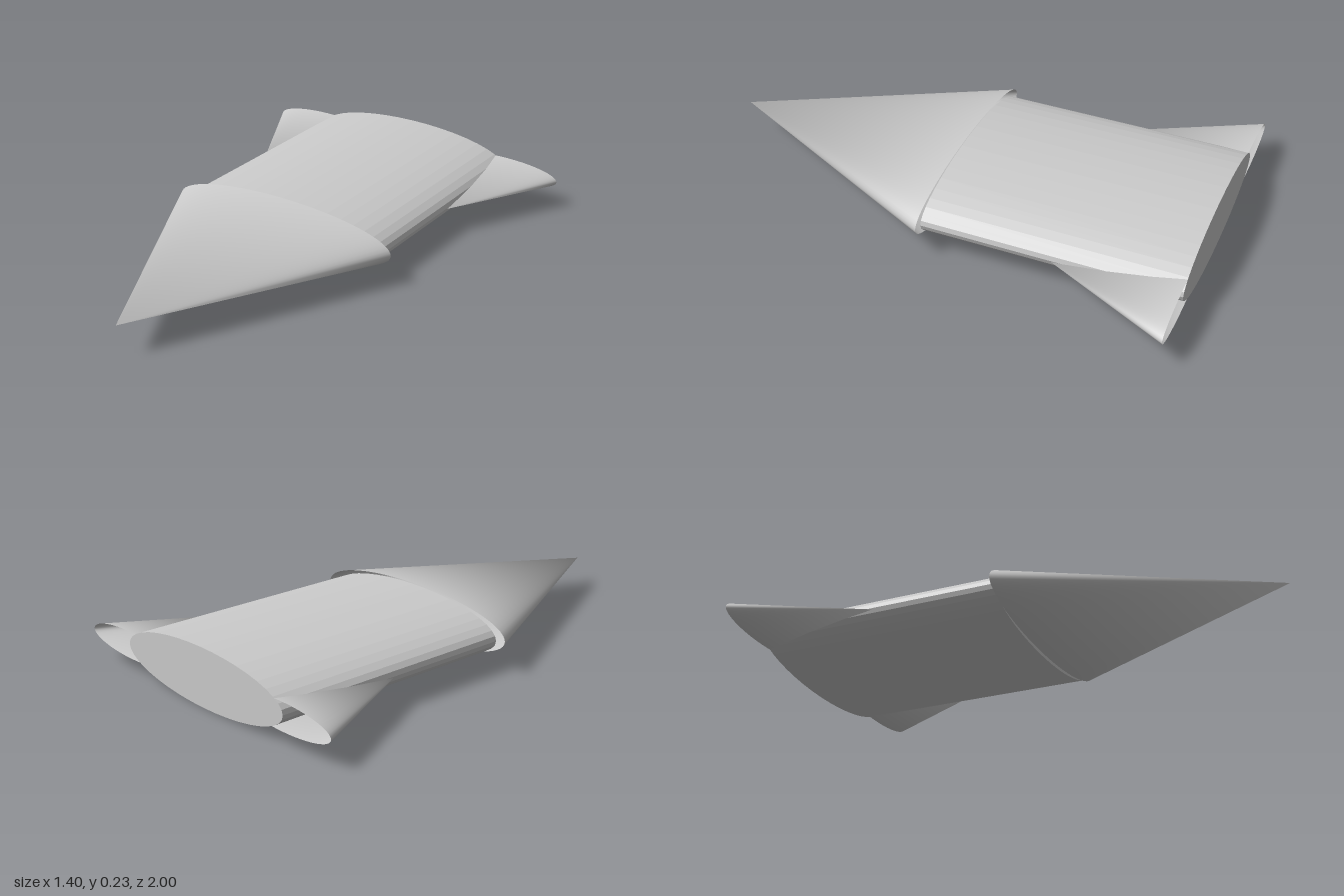
import * as THREE from 'three';
import { mergeVertices } from 'three/addons/utils/BufferGeometryUtils.js';

const grey = new THREE.MeshStandardMaterial({ color: 0xcccccc, side: THREE.DoubleSide });
const greyFlat = new THREE.MeshStandardMaterial({ color: 0xcccccc, flatShading: true });

// Hollow flattened cone pointing to +z, base at z = 0, with one shared, smoothly shaded tip
function flatCone(name, rx, ry, length) {
  let geo = new THREE.ConeGeometry(1, 1, 64, 1, true);
  geo.translate(0, 0.5, 0).rotateX(Math.PI / 2).scale(rx, ry, length);
  geo.deleteAttribute('normal');
  geo.deleteAttribute('uv');
  geo = mergeVertices(geo);
  geo.computeVertexNormals();
  const mesh = new THREE.Mesh(geo, grey);
  mesh.name = name;
  return mesh;
}

export function createModel() {
  const model = new THREE.Group();
  model.name = 'flatRocket';

  // Body: solid elliptical cylinder lying along z
  const bodyGeo = new THREE.CylinderGeometry(1, 1, 1, 40);
  bodyGeo.rotateX(Math.PI / 2).scale(0.455, 0.115, 1.01);
  const body = new THREE.Mesh(bodyGeo, greyFlat);
  body.name = 'body';
  body.position.set(0, 0.115, -0.495);
  model.add(body);

  // Nose: wider than the body, open at the back
  const nose = flatCone('nose', 0.5, 0.11, 0.99);
  nose.position.set(0, 0.124, 0.01);
  model.add(nose);

  // Fins: half-size cones sunk into both sides at the tail
  for (const side of [1, -1]) {
    const fin = flatCone(side > 0 ? 'leftFin' : 'rightFin', 0.25, 0.054, 0.5);
    fin.position.set(side * 0.45, 0.11, -1);
    model.add(fin);
  }

  return model;
}
